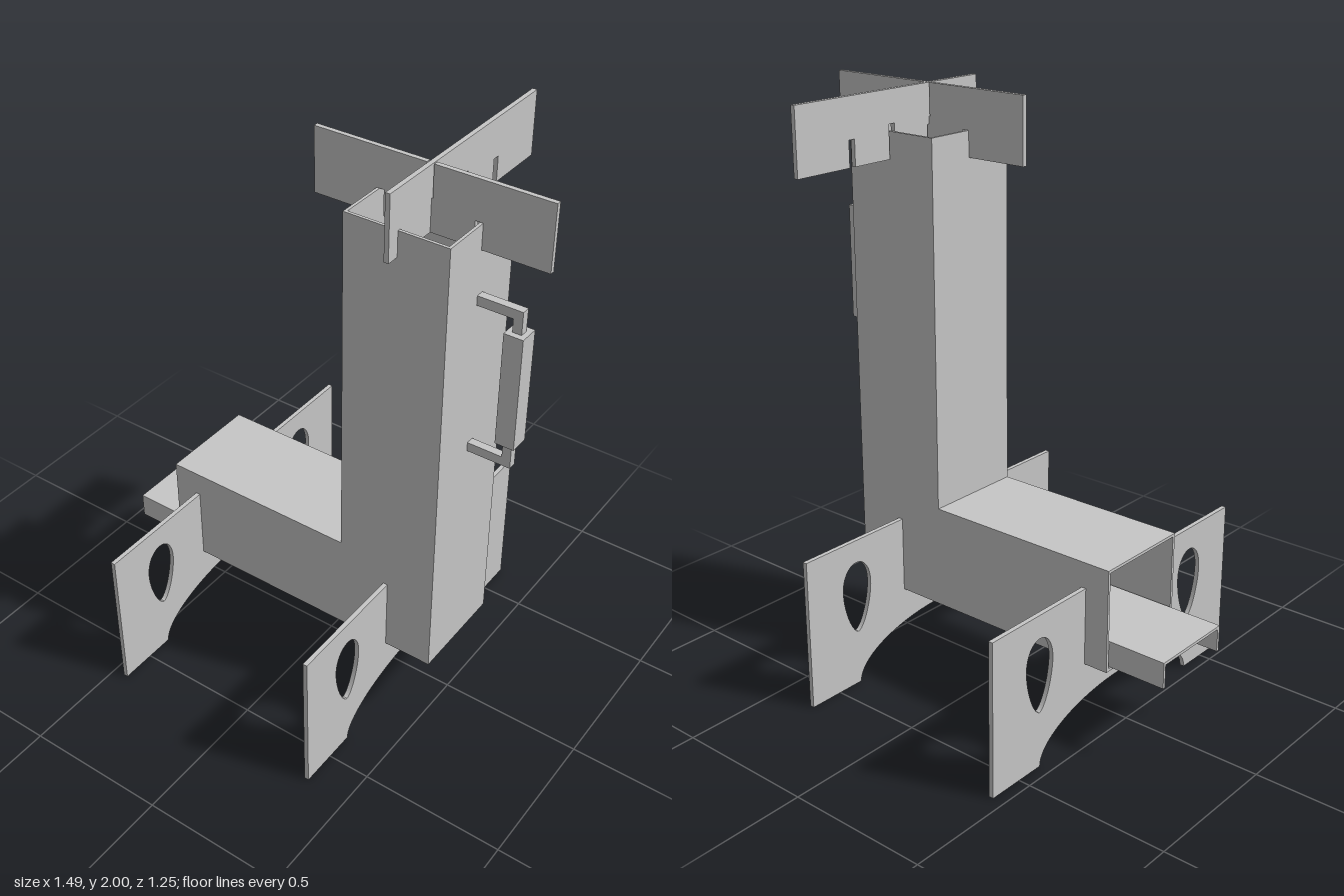
import * as THREE from 'three';

const steel = new THREE.MeshStandardMaterial({ color: 0xc6c6c6 });
steel.name = 'light grey steel';

const WALL = 0.01;    // sheet thickness of the tube
const PLATE = 0.016;  // thickness of the legs and pot supports
const HALF = 0.178;   // half width of the square tube
const CX = 0.343;     // centre of the chimney

function add(parent, geometry, name) {
  const mesh = new THREE.Mesh(geometry, steel);
  mesh.name = name;
  parent.add(mesh);
  return mesh;
}

// Box given by its limits on each axis
function box(parent, name, x0, x1, y0, y1, z0, z1) {
  const mesh = add(parent, new THREE.BoxGeometry(x1 - x0, y1 - y0, z1 - z0), name);
  mesh.position.set((x0 + x1) / 2, (y0 + y1) / 2, (z0 + z1) / 2);
  return mesh;
}

function outline(points) {
  return new THREE.Shape(points.map(([x, y]) => new THREE.Vector2(x, y)));
}

// Flat plate, centred on its own thickness
function plate(shape, depth) {
  return new THREE.ExtrudeGeometry(shape, { depth, bevelEnabled: false, curveSegments: 20 })
    .translate(0, 0, -depth / 2);
}

// L-shaped square tube, open at the feed end and at the chimney top
function makeBody() {
  const g = new THREE.Group();
  g.name = 'body';
  const x0 = -0.545, x1 = 0.522, xc = 0.165, y0 = 0.267, ym = 0.623, y1 = 1.867;
  const side = outline([[x0, y0], [x1, y0], [x1, y1], [xc, y1], [xc, ym], [x0, ym]]);
  for (const s of [-1, 1]) {
    add(g, plate(side, WALL), 'sideWall').position.z = s * (HALF - WALL / 2);
  }
  const w = HALF - WALL;
  box(g, 'floor', x0, x1, y0, y0 + WALL, -w, w);
  box(g, 'feedRoof', x0, xc + WALL, ym - WALL, ym, -w, w);
  box(g, 'chimneyInnerWall', xc, xc + WALL, ym, y1, -w, w);
  box(g, 'chimneyOuterWall', x1 - WALL, x1, y0 + WALL, y1, -w, w);
  return g;
}

// Folded fuel shelf resting on the floor of the tube
function makeShelf() {
  const g = new THREE.Group();
  g.name = 'fuelShelf';
  const x0 = -0.745, x1 = 0.165, w = 0.155, y0 = 0.277, y1 = 0.367;
  box(g, 'shelfTop', x0, x1, y1 - WALL, y1, -w, w);
  for (const s of [-1, 1]) {
    const z = s * (w - WALL / 2);
    box(g, 'shelfFlange', x0, x1, y0, y1 - WALL, z - WALL / 2, z + WALL / 2);
  }
  return g;
}

// Leg plate with an arch, a cradle for the tube and two teardrop holes
function legGeometry() {
  const W = 0.623, H = 0.535;
  const s = new THREE.Shape();
  s.moveTo(-W, 0);
  s.lineTo(-0.4, 0);
  s.absellipse(0, 0, 0.4, 0.158, Math.PI, 0, true);
  s.lineTo(W, 0);
  s.lineTo(W, H);
  s.lineTo(HALF, H);
  s.lineTo(HALF, 0.267);
  s.lineTo(-HALF, 0.267);
  s.lineTo(-HALF, H);
  s.lineTo(-W, H);
  s.closePath();
  for (const c of [-0.403, 0.403]) {
    const h = new THREE.Path();
    h.moveTo(c, 0.195);
    h.bezierCurveTo(c + 0.03, 0.203, c + 0.064, 0.298, c + 0.064, 0.363);
    h.bezierCurveTo(c + 0.064, 0.418, c + 0.035, 0.455, c, 0.455);
    h.bezierCurveTo(c - 0.035, 0.455, c - 0.064, 0.418, c - 0.064, 0.363);
    h.bezierCurveTo(c - 0.064, 0.298, c - 0.03, 0.203, c, 0.195);
    s.holes.push(h);
  }
  return plate(s, PLATE).rotateY(Math.PI / 2);
}

// Pot support with slots for the chimney walls and a half-depth cross slot
function supportGeometry(crossSlotOnTop, wallSlot) {
  const L = 0.4, y0 = 1.781, y1 = 2, mid = 1.892, wallTop = 1.867, k = 0.012;
  const slot = (c, top) => [[c - k, y0], [c - k, top], [c + k, top], [c + k, y0]];
  const points = [[-L, y0], ...slot(-wallSlot, wallTop)];
  if (!crossSlotOnTop) points.push(...slot(0, mid));
  points.push(...slot(wallSlot, wallTop), [L, y0], [L, y1]);
  if (crossSlotOnTop) points.push([k, y1], [k, mid], [-k, mid], [-k, y1]);
  points.push([-L, y1]);
  return plate(outline(points), PLATE);
}

// Bracket handle with a thicker square grip
function makeHandle() {
  const g = new THREE.Group();
  g.name = 'handle';
  const r = 0.014;
  box(g, 'lowerArm', 0.517, 0.674, 1.068, 1.1, -r, r);
  box(g, 'upperArm', 0.517, 0.674, 1.6, 1.633, -r, r);
  box(g, 'handleRod', 0.643, 0.674, 1.1, 1.6, -r, r);
  box(g, 'grip', 0.626, 0.691, 1.158, 1.555, -0.034, 0.034);
  return g;
}

export function createModel() {
  const model = new THREE.Group();
  model.name = 'rocketStove';
  model.add(makeBody(), makeShelf(), makeHandle());

  const leg = legGeometry();
  for (const x of [-0.45, CX]) add(model, leg, 'legPlate').position.x = x;

  // Crossed pot supports; the second one sits off-centre to the back
  add(model, supportGeometry(true, 0.165), 'potSupportAcross').position.x = CX;
  const back = add(model, supportGeometry(false, 0.174).rotateY(Math.PI / 2), 'potSupportAlong');
  back.position.set(CX, 0, -0.178);
  return model;
}
